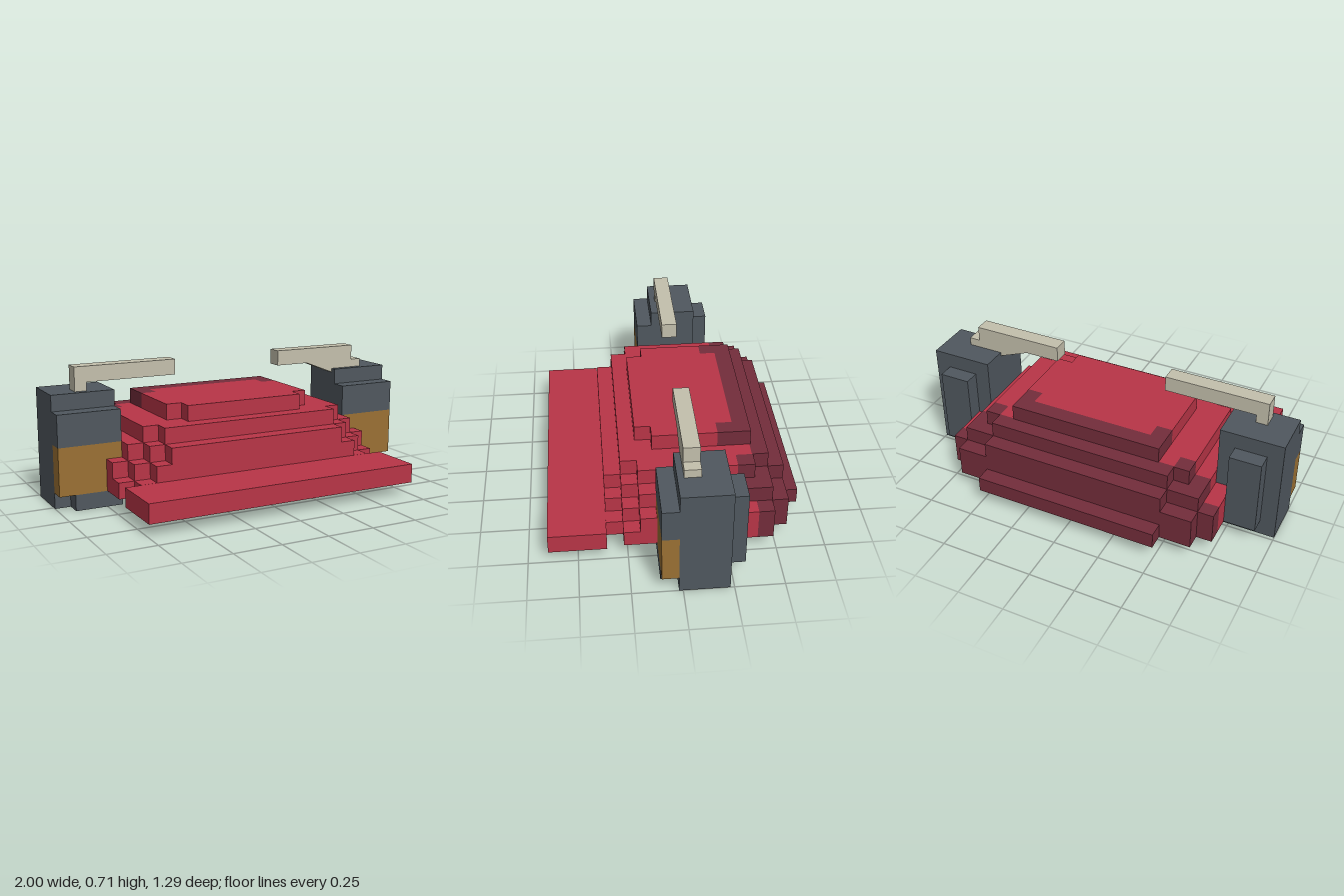
import * as THREE from 'three';

const material = (name, color) => {
  const m = new THREE.MeshStandardMaterial({ color });
  m.name = name;
  return m;
};

export function createModel() {
  const red = material('red', 0xb93547);
  const darkRed = material('dark red', 0x742d3b);
  const grey = material('slate grey', 0x50585f);
  const ochre = material('ochre', 0x9b7134);
  const bone = material('bone', 0xc4c0ad);

  const root = new THREE.Group();
  root.name = 'model';

  const add = (parent, name, geometry, mat) => {
    const mesh = new THREE.Mesh(geometry, mat);
    mesh.name = name;
    parent.add(mesh);
    return mesh;
  };

  // Box given by its extents on each axis
  const box = (parent, name, mat, [x0, x1], [y0, y1], [z0, z1]) => {
    const mesh = add(parent, name, new THREE.BoxGeometry(x1 - x0, y1 - y0, z1 - z0), mat);
    mesh.position.set((x0 + x1) / 2, (y0 + y1) / 2, (z0 + z1) / 2);
  };

  // Horizontal slab whose half outline (x, z) is mirrored across x = 0
  const slab = (parent, name, mat, y0, y1, half) => {
    const pts = [...half, ...half.map(([x, z]) => [-x, z]).reverse()];
    const shape = new THREE.Shape(pts.map(([x, z]) => new THREE.Vector2(x, -z)));
    const geo = new THREE.ExtrudeGeometry(shape, { depth: y1 - y0, bevelEnabled: false });
    geo.rotateX(-Math.PI / 2);
    geo.translate(0, y0, 0);
    add(parent, name, geo, mat);
  };

  // Stepped body: each layer has a red front and a dark red back
  const layers = [
    {
      front: [[0.667, 0.354], [0.667, 0.27], [0.75, 0.27], [0.75, -0.4]],
      back: [[0.75, -0.4], [0.75, -0.48], [0.667, -0.48], [0.667, -0.563], [0.5, -0.563], [0.5, -0.646]],
    },
    {
      front: [[0.583, 0.354], [0.583, 0.27], [0.667, 0.27], [0.667, 0.187], [0.75, 0.187], [0.75, -0.4]],
      back: [[0.75, -0.4], [0.75, -0.48], [0.667, -0.48], [0.667, -0.563]],
    },
    {
      front: [[0.5, 0.354], [0.5, 0.27], [0.583, 0.27], [0.583, 0.187], [0.667, 0.187],
        [0.667, -0.313], [0.5, -0.313], [0.5, -0.4]],
      back: [[0.5, -0.4], [0.5, -0.313], [0.667, -0.313], [0.667, -0.48], [0.5, -0.48], [0.5, -0.563]],
    },
    {
      front: [[0.5, 0.27], [0.5, 0.187], [0.583, 0.187], [0.583, -0.313], [0.5, -0.313], [0.5, -0.395]],
      back: [[0.5, -0.395], [0.5, -0.313], [0.583, -0.313], [0.583, -0.4], [0.5, -0.4], [0.5, -0.48]],
    },
    {
      front: [[0.333, 0.187], [0.333, 0.104], [0.417, 0.104], [0.417, -0.23], [0.333, -0.23], [0.333, -0.313]],
      back: [[0.333, -0.313], [0.333, -0.23], [0.417, -0.23], [0.417, -0.4]],
    },
  ];
  const body = new THREE.Group();
  body.name = 'steppedBody';
  root.add(body);
  layers.forEach(({ front, back }, i) => {
    const y0 = 0.335 + i * 0.0833;
    slab(body, `layer${i + 1}Front`, red, y0, y0 + 0.0833, front);
    slab(body, `layer${i + 1}Back`, darkRed, y0, y0 + 0.0833, back);
  });

  // Flat brim at the front
  box(root, 'brim', red, [-0.75, 0.75], [0.318, 0.418], [0.354, 0.646]);

  // Side posts
  for (const s of [1, -1]) {
    const post = new THREE.Group();
    post.name = s > 0 ? 'leftPost' : 'rightPost';
    root.add(post);
    const span = (a, b) => (s > 0 ? [a, b] : [-b, -a]);
    box(post, 'postCore', grey, span(0.667, 1), [0.252, 0.836], [-0.23, 0.02]);
    box(post, 'upperFront', grey, span(0.667, 1), [0.585, 0.752], [0.02, 0.104]);
    box(post, 'middleFront', ochre, span(0.667, 1), [0.335, 0.585], [0.02, 0.104]);
    box(post, 'lowerFront', grey, span(0.667, 0.917), [0.252, 0.335], [0.02, 0.104]);
    box(post, 'backPanel', grey, span(0.75, 0.917), [0.335, 0.752], [-0.313, -0.23]);
  }

  // Arms on top of the posts
  const arm = (name, pts) => {
    const shape = new THREE.Shape(pts.map(([x, y]) => new THREE.Vector2(x, y)));
    const geo = new THREE.ExtrudeGeometry(shape, { depth: 0.082, bevelEnabled: false });
    geo.translate(0, 0, -0.094);
    add(root, name, geo, bone);
  };
  arm('leftArm', [[0.31, 0.88], [0.5, 0.88], [0.667, 0.815], [0.86, 0.815], [0.86, 0.88],
    [0.8, 0.88], [0.8, 0.962], [0.31, 0.962]]);
  arm('rightArm', [[-0.865, 0.83], [-0.803, 0.83], [-0.803, 0.88], [-0.313, 0.88],
    [-0.313, 0.962], [-0.865, 0.962]]);

  return root;
}
